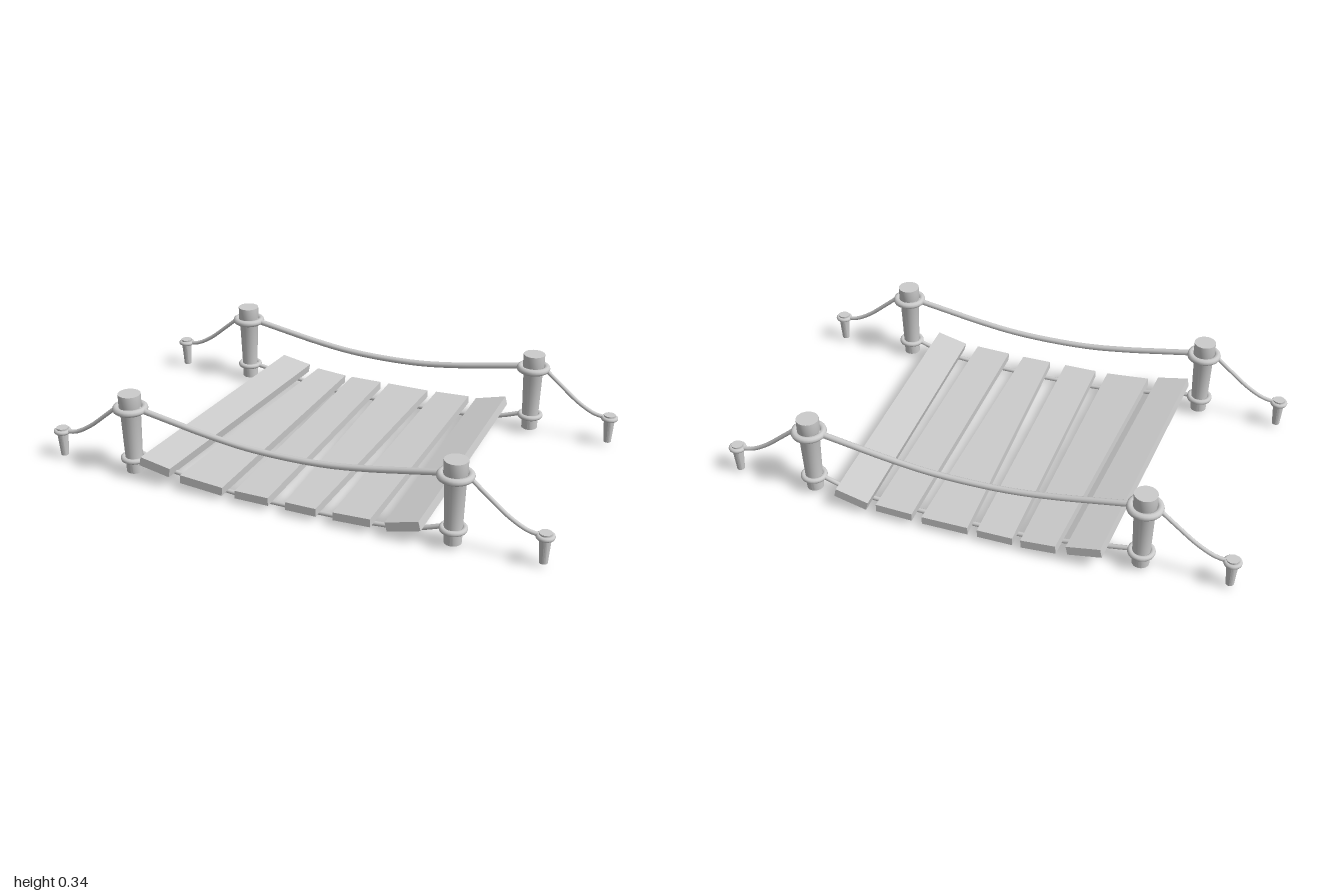
import * as THREE from 'three';
import { toCreasedNormals } from 'three/addons/utils/BufferGeometryUtils.js';

const material = new THREE.MeshStandardMaterial({ color: 0xcccccc });

function add(parent, name, geometry, x = 0, y = 0, z = 0) {
  const mesh = new THREE.Mesh(geometry, material);
  mesh.name = name;
  mesh.position.set(x, y, z);
  parent.add(mesh);
  return mesh;
}

// Turned post with hard edges, from [radius, height] pairs
function turned(profile) {
  const points = profile.map(([r, y]) => new THREE.Vector2(r, y));
  return toCreasedNormals(new THREE.LatheGeometry(points, 20), 0.6);
}

// Rope through [x, y] points
function rope(points, radius) {
  const curve = new THREE.CatmullRomCurve3(points.map(([x, y]) => new THREE.Vector3(x, y, 0)));
  return new THREE.TubeGeometry(curve, 32, radius, 10);
}

// Horizontal rope loop wound around a post
function loop(radius, tube) {
  return new THREE.TorusGeometry(radius, tube, 10, 28).rotateX(Math.PI / 2);
}

// Hand-cut board whose ends differ in position, width and height
function plank(back, front, backY, frontY, slope, thickness) {
  const geometry = new THREE.BoxGeometry(1, thickness, 1);
  const p = geometry.attributes.position;
  for (let i = 0; i < p.count; i++) {
    const isFront = p.getZ(i) > 0;
    const [left, right] = isFront ? front : back;
    const side = p.getX(i), h = p.getY(i);
    const x = (left + right) / 2 + side * (right - left);
    const y = (isFront ? frontY : backY) + side * (right - left) * slope + h;
    p.setXYZ(i, x - slope * h, y, isFront ? 0.54 : -0.555);
  }
  geometry.computeVertexNormals();
  return geometry;
}

export function createModel() {
  const model = new THREE.Group();
  model.name = 'ropeBridge';

  const post = turned([[0, 0.015], [0.032, 0.015], [0.033, 0.07], [0.039, 0.27],
    [0.043, 0.28], [0.043, 0.34], [0, 0.34]]);
  const stake = turned([[0, 0.015], [0.015, 0.015], [0.022, 0.115], [0.023, 0.133], [0, 0.133]]);
  const upperLoop = loop(0.054, 0.0135);
  const lowerLoop = loop(0.041, 0.0105);
  const stakeLoop = loop(0.025, 0.009);
  const handRope = rope([[-0.6, 0.281], [-0.47, 0.258], [-0.33, 0.234], [-0.17, 0.214], [0, 0.208],
    [0.17, 0.214], [0.33, 0.234], [0.47, 0.258], [0.6, 0.281]], 0.012);
  const deckRope = rope([[-0.61, 0.072], [-0.43, 0.042], [-0.25, 0.016], [0, 0.01],
    [0.25, 0.014], [0.42, 0.024], [0.52, 0.042], [0.61, 0.073]], 0.009);

  // Rope railings on both sides
  for (const [side, z] of [['front', 0.487], ['back', -0.478]]) {
    const railing = new THREE.Group();
    railing.name = side + 'Railing';
    railing.position.z = z;
    model.add(railing);
    add(railing, 'handRope', handRope);
    add(railing, 'deckRope', deckRope);
    for (const s of [-1, 1]) {
      add(railing, 'post', post, s * 0.643);
      add(railing, 'upperPostLoop', upperLoop, s * 0.643, 0.28);
      add(railing, 'lowerPostLoop', lowerLoop, s * 0.643, 0.071);
      add(railing, 'stake', stake, s * 0.966);
      add(railing, 'stakeLoop', stakeLoop, s * 0.966, 0.118);
      const sag = [[0.695, 0.28], [0.76, 0.225], [0.837, 0.163], [0.9, 0.128], [0.945, 0.118]];
      add(railing, 'guyRope', rope(sag.map(([x, y]) => [s * x, y]), 0.008));
    }
  }

  // Deck boards: back x range, front x range, back y, front y, slope, thickness
  const deck = new THREE.Group();
  deck.name = 'deck';
  model.add(deck);
  [
    [[-0.515, -0.388], [-0.583, -0.458], 0.073, 0.08, -0.19, 0.036],
    [[-0.347, -0.215], [-0.413, -0.236], 0.045, 0.046, -0.08, 0.034],
    [[-0.183, -0.047], [-0.183, -0.047], 0.04, 0.04, 0, 0.032],
    [[-0.01, 0.17], [0.022, 0.143], 0.04, 0.04, 0, 0.032],
    [[0.21, 0.354], [0.21, 0.354], 0.045, 0.045, 0.04, 0.032],
    [[0.391, 0.519], [0.413, 0.538], 0.06, 0.064, 0.26, 0.035],
  ].forEach((board, i) => add(deck, 'plank' + (i + 1), plank(...board)));

  return model;
}
